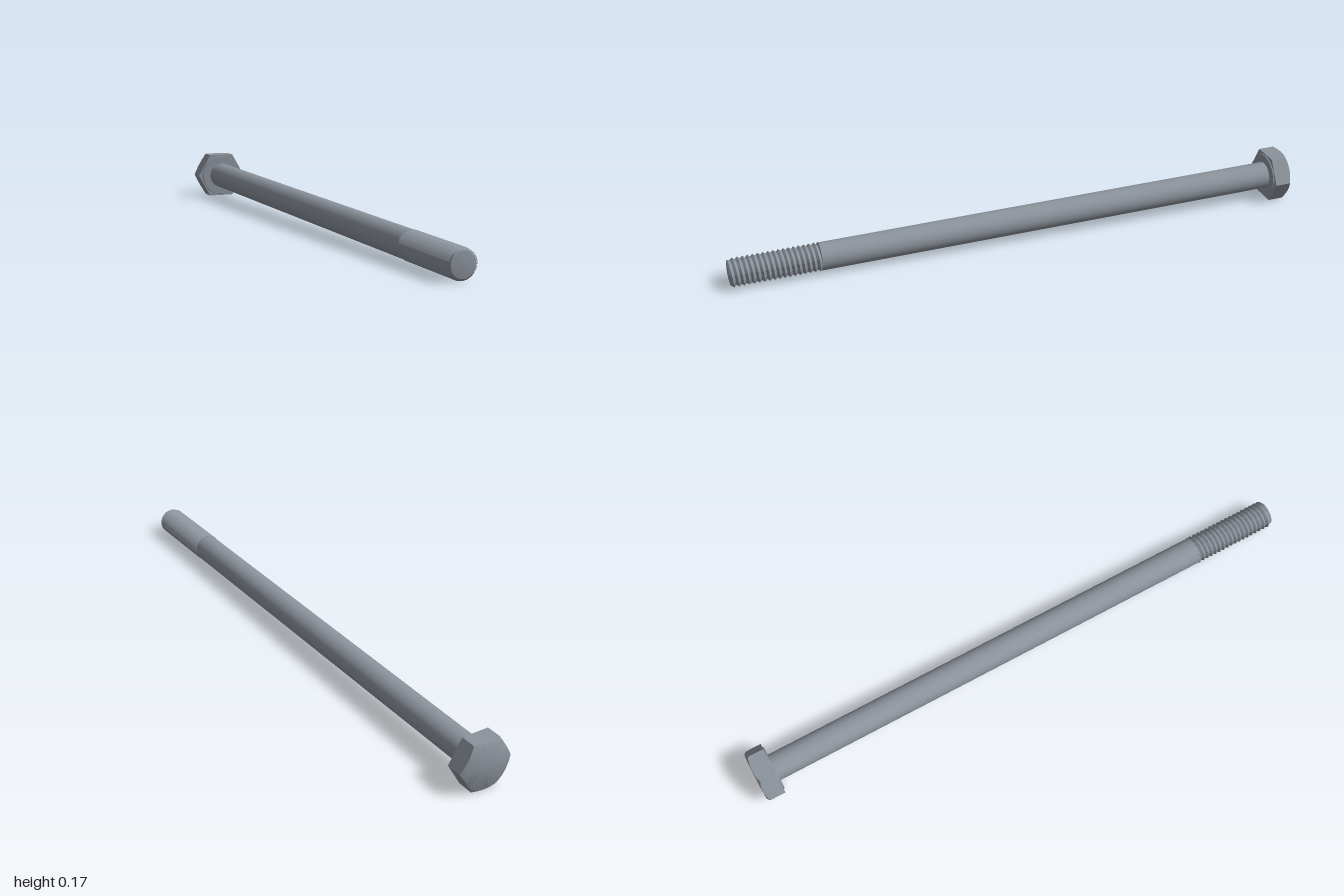
import * as THREE from 'three';
import { toCreasedNormals } from 'three/addons/utils/BufferGeometryUtils.js';

export function createModel() {
  const steel = new THREE.MeshStandardMaterial({ color: 0x8c939c });
  steel.name = 'steel';
  const bolt = new THREE.Group();
  bolt.name = 'bolt';

  const add = (name, geometry, y = 0) => {
    const mesh = new THREE.Mesh(geometry, steel);
    mesh.name = name;
    mesh.position.y = y;
    bolt.add(mesh);
  };
  // Lathe whose vertices are moved by rule(v, angle, row)
  const shapedLathe = (points, segments, rule, crease) => {
    const g = new THREE.LatheGeometry(points.map(([x, y]) => new THREE.Vector2(x, y)), segments);
    const p = g.attributes.position;
    const n = points.length;
    for (let i = 0; i < p.count; i++) {
      const angle = (Math.floor(i / n) / segments) * Math.PI * 2;
      const row = i % n;
      const [r, y] = rule(points[row][0], points[row][1], angle, row);
      p.setXYZ(i, r * Math.sin(angle), y, r * Math.cos(angle));
    }
    return toCreasedNormals(g, crease);
  };

  // Local frame: y runs along the bolt, 0 is the underside of the head
  const shankEnd = 1.651, tip = 1.955, shankRadius = 0.0475;

  // Hexagonal head with a conical chamfer on the crown
  const flat = 0.0825, crown = 0.081, thick = 0.063;
  add('hexHead', shapedLathe(
    [[0, -thick], [crown, -thick], [flat, -thick], [flat, 0], [0, 0]], 72,
    (r, y, a, row) => {
      if (row !== 2 && row !== 3) return [r, y];
      const sector = (a % (Math.PI / 3)) - Math.PI / 6;
      const hex = flat / Math.cos(sector);
      return [hex, row === 2 ? -thick + (hex - crown) * 0.6 : 0];
    }, 0.6));

  // Round bearing face under the head
  add('bearingFace', new THREE.CylinderGeometry(0.077, 0.078, 0.004, 64), 0.002);

  // Plain shank
  add('shank', new THREE.CylinderGeometry(shankRadius, shankRadius, shankEnd, 64), shankEnd / 2);

  // Helical thread: crest and root rows rise by one pitch per turn
  const turns = 18, pitch = (tip - shankEnd) / turns;
  const crest = 0.049, root = 0.0415, endRadius = 0.041;
  const rows = [];
  for (let i = -2; i <= turns * 2; i++) {
    rows.push([i % 2 ? crest : root, shankEnd + (i * pitch) / 2]);
  }
  add('thread', shapedLathe(rows, 64, (r, y, a) => {
    const s = THREE.MathUtils.clamp(y + (pitch * a) / (Math.PI * 2), shankEnd, tip);
    return [Math.min(r, endRadius + (tip - s)), s];
  }, 0.5));

  // Slightly domed tip
  add('tip', new THREE.LatheGeometry([
    new THREE.Vector2(endRadius, -0.001),
    new THREE.Vector2(endRadius * 0.6, 0.0015),
    new THREE.Vector2(0, 0.003),
  ], 64), tip);

  // Lay the bolt down along its slanting axis, two flats facing up and down
  const start = new THREE.Vector3(-0.925, 0.083, -0.176);
  const end = new THREE.Vector3(0.987, 0.05, 0.232);
  const axis = end.sub(start).normalize();
  const up = new THREE.Vector3(0, 1, 0).addScaledVector(axis, -axis.y).normalize();
  const side = new THREE.Vector3().crossVectors(up, axis);
  bolt.quaternion.setFromRotationMatrix(new THREE.Matrix4().makeBasis(up, axis, side));
  bolt.position.copy(start);

  const model = new THREE.Group();
  model.name = 'hexBolt';
  model.add(bolt);
  return model;
}
